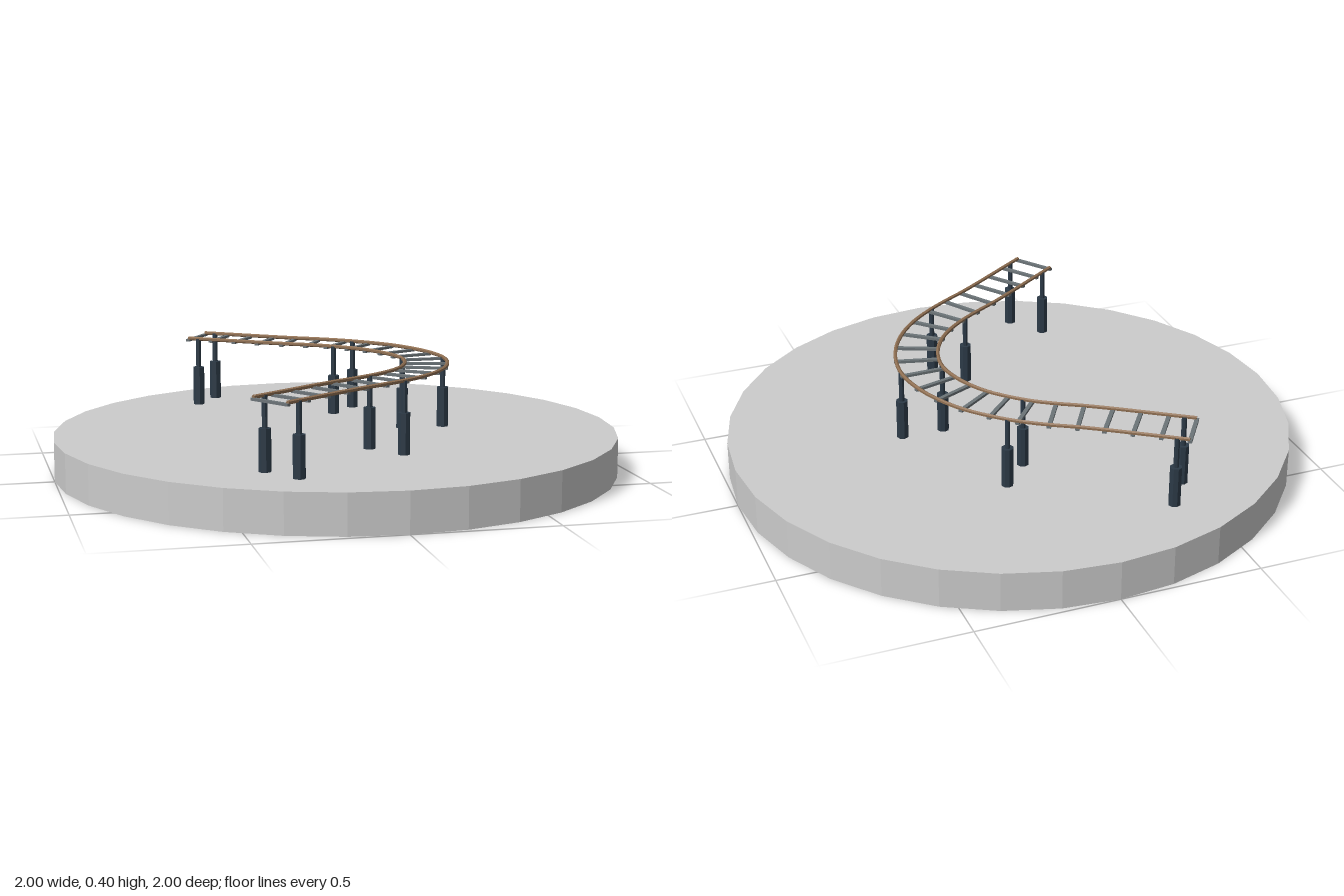
import * as THREE from 'three';

const material = (color) => new THREE.MeshStandardMaterial({ color, flatShading: true });
const stone = material(0xcccccc), rust = material(0x8f6f52);
const steel = material(0x6c7478), slate = material(0x2c3a47);

const BASE_TOP = 0.14, RAIL_Y = 0.391, HALF_GAUGE = 0.075;

// Centre line of the track, as [x, z]
const centreLine = new THREE.CatmullRomCurve3([
  [-0.382, -0.70], [-0.107, -0.512], [0.093, -0.385], [0.246, -0.215], [0.315, 0.01],
  [0.268, 0.205], [0.18, 0.328], [0.073, 0.418], [-0.09, 0.52], [-0.382, 0.722],
].map(([x, z]) => new THREE.Vector3(x, 0, z)));

// Point at fraction t, moved sideways and up, with the track's heading
function trackPoint(t, side, y) {
  const tangent = centreLine.getTangentAt(t);
  const p = centreLine.getPointAt(t);
  return new THREE.Vector3(p.x + tangent.z * side, y, p.z - tangent.x * side);
}

function addMesh(parent, name, geometry, mat, position) {
  const mesh = new THREE.Mesh(geometry, mat);
  mesh.name = name;
  if (position) mesh.position.copy(position);
  parent.add(mesh);
  return mesh;
}

export function createModel() {
  const model = new THREE.Group();
  model.name = 'trackOnBase';

  // Round base
  addMesh(model, 'base', new THREE.CylinderGeometry(1, 1, BASE_TOP, 32), stone,
    new THREE.Vector3(0, BASE_TOP / 2, 0));

  // Two rails with closed ends
  for (const side of [-1, 1]) {
    const points = [];
    for (let i = 0; i <= 22; i++) points.push(trackPoint(i / 22, side * HALF_GAUGE, RAIL_Y));
    const path = new THREE.CatmullRomCurve3(points);
    const rail = new THREE.Group();
    rail.name = side > 0 ? 'outerRail' : 'innerRail';
    addMesh(rail, 'railBar', new THREE.TubeGeometry(path, 66, 0.007, 6), rust);
    for (const end of [0, 1]) {
      const cap = addMesh(rail, 'railEnd', new THREE.CircleGeometry(0.007, 6), rust, points[end * 22]);
      const direction = path.getTangent(end).multiplyScalar(end ? 1 : -1);
      cap.lookAt(points[end * 22].clone().add(direction));
    }
    model.add(rail);
  }

  // Sleepers across the rails
  const sleepers = new THREE.Group();
  sleepers.name = 'sleepers';
  const sleeperGeometry = new THREE.BoxGeometry(2 * HALF_GAUGE + 0.012, 0.009, 0.014);
  for (let i = 0; i <= 22; i++) {
    const t = i / 22, tangent = centreLine.getTangentAt(t);
    const sleeper = addMesh(sleepers, 'sleeper', sleeperGeometry, steel, trackPoint(t, 0, 0.384));
    sleeper.rotation.y = Math.atan2(tangent.x, tangent.z);
  }
  model.add(sleepers);

  // Pairs of stepped posts under the rails
  const footHeight = 0.143, stemHeight = RAIL_Y - BASE_TOP - footHeight;
  const footGeometry = new THREE.CylinderGeometry(0.021, 0.021, footHeight, 8);
  const stemGeometry = new THREE.CylinderGeometry(0.0095, 0.0095, stemHeight, 8);
  for (const t of [0.02, 0.289, 0.505, 0.733, 0.975]) {
    for (const side of [-1, 1]) {
      const post = new THREE.Group();
      post.name = 'post';
      post.position.copy(trackPoint(t, side * HALF_GAUGE, BASE_TOP));
      addMesh(post, 'postFoot', footGeometry, slate, new THREE.Vector3(0, footHeight / 2, 0));
      addMesh(post, 'postStem', stemGeometry, slate,
        new THREE.Vector3(0, footHeight + stemHeight / 2, 0));
      model.add(post);
    }
  }
  return model;
}
